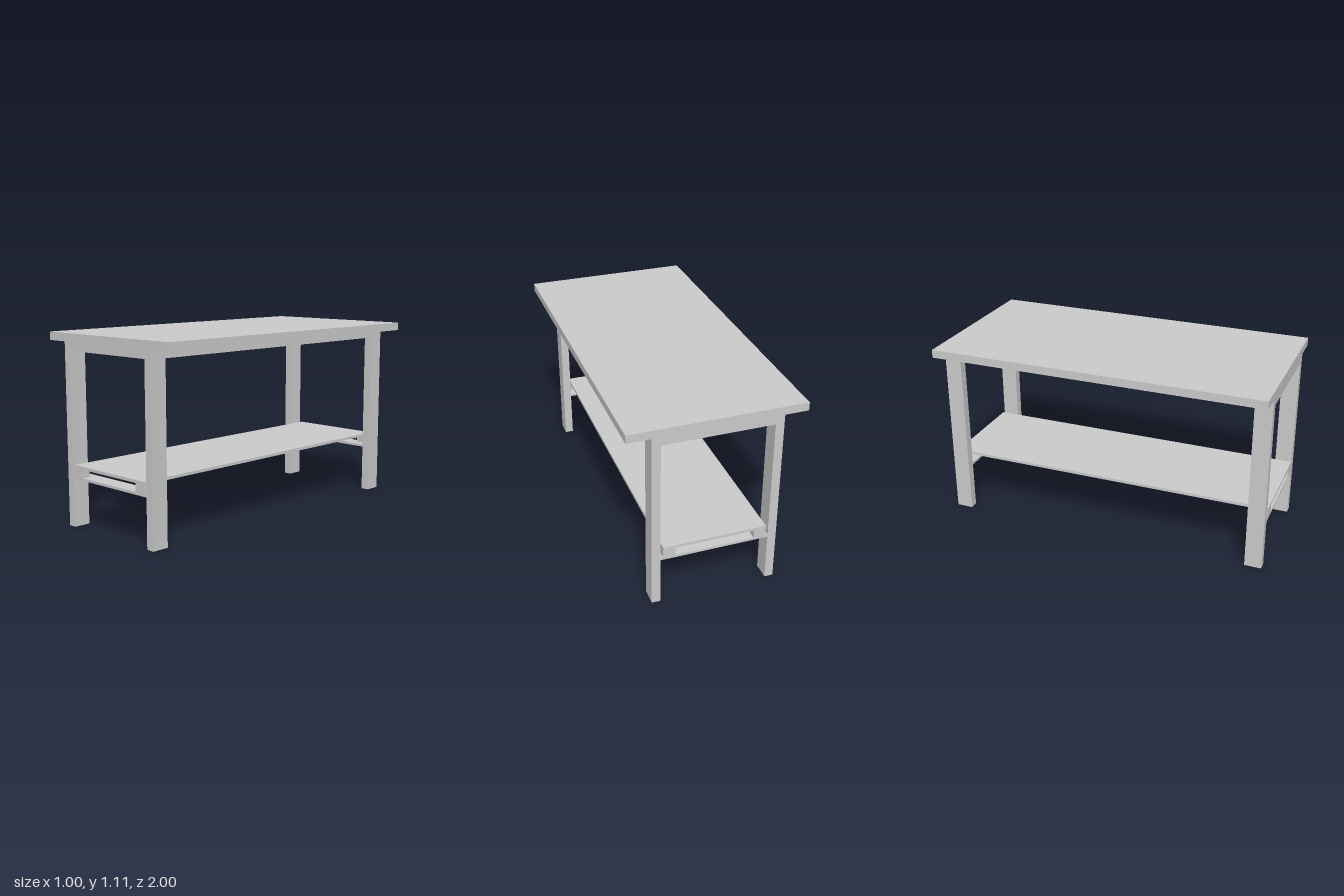
import * as THREE from 'three';

export function createModel() {
  const model = new THREE.Group();
  const material = new THREE.MeshStandardMaterial({ color: 0xcccccc, flatShading: true });

  // Box given by its extents along each axis
  function box(name, [x0, x1], [y0, y1], [z0, z1]) {
    const mesh = new THREE.Mesh(new THREE.BoxGeometry(x1 - x0, y1 - y0, z1 - z0), material);
    mesh.position.set((x0 + x1) / 2, (y0 + y1) / 2, (z0 + z1) / 2);
    mesh.name = name;
    model.add(mesh);
  }
  // Range from a to b, mirrored when s is -1
  const side = (s, a, b) => (s > 0 ? [a, b] : [-b, -a]);

  box('tableTop', [-0.5, 0.5], [1.065, 1.113], [-1, 1]);
  box('lowerShelf', [-0.3, 0.3], [0.35, 0.367], [-1, 1]);

  // Long apron rails under the top
  for (const sx of [-1, 1]) {
    box(sx > 0 ? 'leftRail' : 'rightRail', side(sx, 0.315, 0.365), [1.015, 1.065], [-0.998, 0.998]);
  }

  for (const sz of [-1, 1]) {
    const end = sz > 0 ? 'front' : 'back';
    box(end + 'Rail', [-0.315, 0.315], [1.015, 1.065], side(sz, 0.948, 0.998));
    // Flat crossbar between the legs
    box(end + 'Crossbar', [-0.315, 0.315], [0.285, 0.3], side(sz, 0.897, 0.998));

    for (const sx of [-1, 1]) {
      const name = end + (sx > 0 ? 'Left' : 'Right');
      box(name + 'Leg', side(sx, 0.315, 0.365), [0, 1.015], side(sz, 0.897, 0.998));
      // Spacer carrying the shelf on the crossbar
      box(name + 'ShelfBlock', side(sx, 0.23, 0.3), [0.3, 0.35], side(sz, 0.95, 1));
    }
  }
  return model;
}
